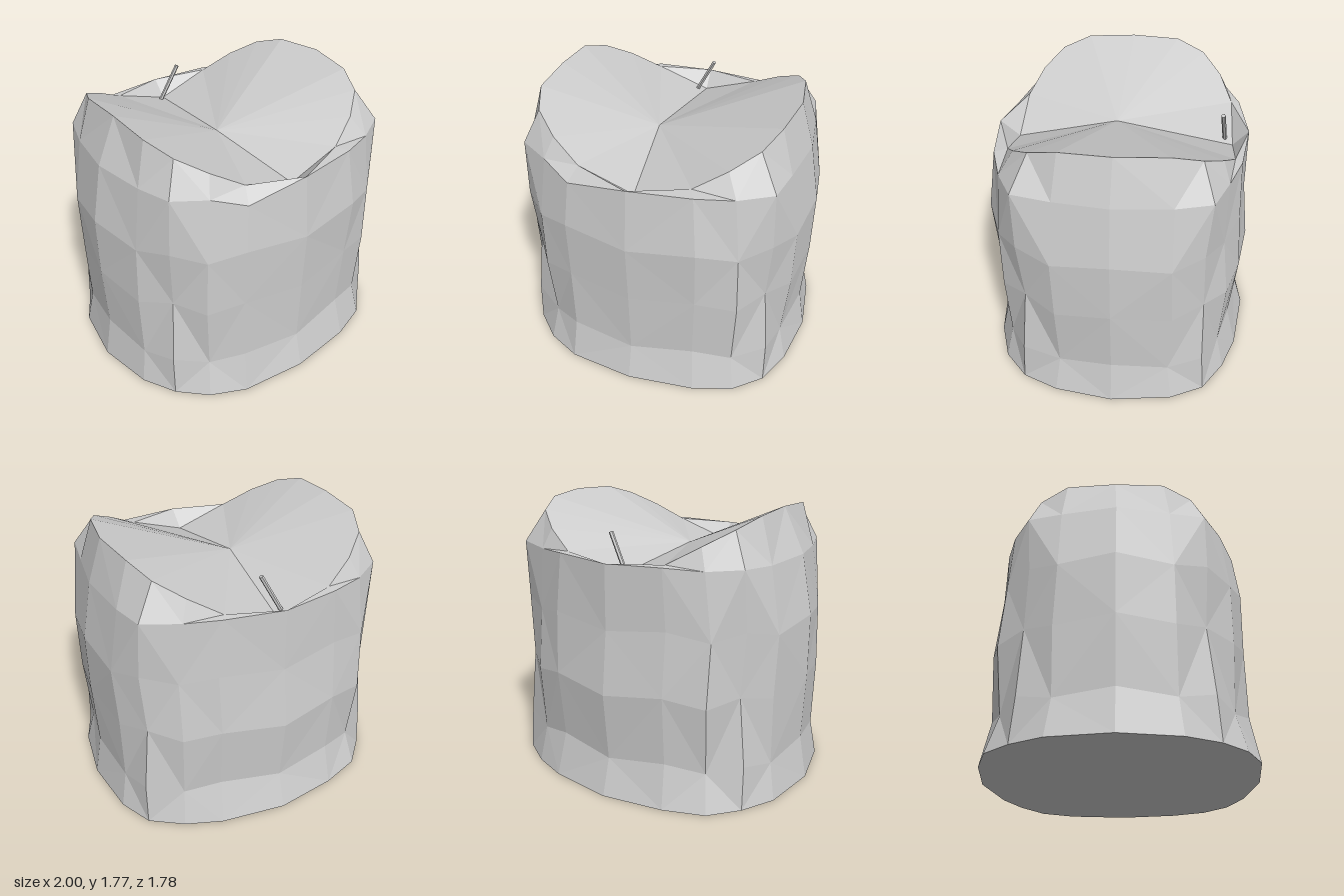
import * as THREE from 'three';

const N = 20; // columns around the body

// Outline of the foot (x, z), from the front centre round by +x
const FOOT = [
  [0, 0.89], [0.43, 0.84], [0.68, 0.755], [0.85, 0.6], [0.945, 0.37],
  [1, 0], [0.95, -0.39], [0.85, -0.6], [0.65, -0.735], [0.42, -0.825],
  [0, -0.89], [-0.4, -0.835], [-0.66, -0.75], [-0.82, -0.585], [-0.94, -0.38],
  [-1, 0], [-0.93, 0.365], [-0.815, 0.575], [-0.65, 0.735], [-0.43, 0.84],
];

// One quadrant of the rim (x, y, z), from the front centre to the side
const RIM = [
  [0, 1.38, 0.695], [0.35, 1.5, 0.69], [0.54, 1.61, 0.61],
  [0.69, 1.7, 0.49], [0.765, 1.76, 0.31], [0.79, 1.775, 0],
];

// Rings of the wall: height, x scale, front z scale, back z scale, corner bulge, unevenness
const RINGS = [
  [0, 1, 1, 1, 1, 0],
  [0.26, 0.95, 0.93, 0.92, 1.045, 0.022],
  [0.7, 0.97, 0.94, 0.965, 0.97, 0.022],
  [1.1, 0.97, 0.955, 0.91, 1, 0.022],
  [1.49, 0.9, 0.905, 0.9, 1.06, 0.005],
];

function createPoints() {
  const rings = RINGS.map(([y, sx, front, back, corner, uneven], r) =>
    FOOT.map(([x, z], i) => {
      // gentle hand-cut unevenness, none on the four main axes
      let wobble = i % 5 ? 1 + 0.5 * uneven * Math.sin(i * 2.3 + r * 1.9) : 1;
      if ([3, 7, 13, 17].includes(i)) wobble = corner;
      const lift = i % 2 ? uneven : -uneven;
      return [x * sx * wobble, y + lift, z * (z > 0 ? front : back) * wobble];
    }));
  rings[4][19][1] = 1.42; // chipped spot on the front edge
  // Saddle-shaped rim, low at front and back and high at the sides
  rings.push(FOOT.map((_, i) => {
    const k = i % 10;
    const q = k <= 5 ? k : 10 - k;
    const [x, y, z] = RIM[q];
    const shift = q === 5 ? 0.02 : 0;
    return [(i <= 10 ? x : -x) + shift, y, (i <= 5 || i >= 15 ? z : -z) - 0.01];
  }));
  return rings;
}

function facetedMesh(name, triangles, material) {
  const geometry = new THREE.BufferGeometry();
  geometry.setAttribute('position', new THREE.Float32BufferAttribute(triangles.flat(2), 3));
  geometry.computeVertexNormals();
  const mesh = new THREE.Mesh(geometry, material);
  mesh.name = name;
  return mesh;
}

export function createModel() {
  const group = new THREE.Group();
  group.name = 'facetedBlock';
  const grey = new THREE.MeshStandardMaterial({ color: 0xcccccc });
  grey.name = 'lightGrey';

  const rings = createPoints();
  const wall = [], hollow = [], base = [];
  const centre = [-0.08, 1.475, 0.05];

  for (let i = 0; i < N; i++) {
    const j = (i + 1) % N;
    for (let r = 0; r < rings.length - 1; r++) {
      const a = rings[r][i], b = rings[r][j], c = rings[r + 1][j], d = rings[r + 1][i];
      // alternate the diagonals for a cut-stone look, the top two bands alike
      if ((i + Math.min(r, 3)) % 2) wall.push([a, b, c], [a, c, d]);
      else wall.push([a, b, d], [b, c, d]);
    }
    const top = rings[rings.length - 1];
    hollow.push([centre, top[i], top[j]]);
    base.push([[0, 0, 0], rings[0][j], rings[0][i]]);
  }
  group.add(
    facetedMesh('wall', wall, grey),
    facetedMesh('hollowTop', hollow, grey),
    facetedMesh('base', base, grey),
  );

  // Thin leaning stick near the back of the hollow
  const start = new THREE.Vector3(-0.07, 1.36, -0.66);
  const end = new THREE.Vector3(0.075, 1.635, -0.625);
  const axis = end.clone().sub(start);
  const stickGeometry = new THREE.CylinderGeometry(0.014, 0.014, axis.length(), 6).toNonIndexed();
  stickGeometry.computeVertexNormals();
  const stick = new THREE.Mesh(stickGeometry, grey);
  stick.name = 'stick';
  stick.position.copy(start).add(end).multiplyScalar(0.5);
  stick.quaternion.setFromUnitVectors(new THREE.Vector3(0, 1, 0), axis.normalize());
  group.add(stick);

  return group;
}
